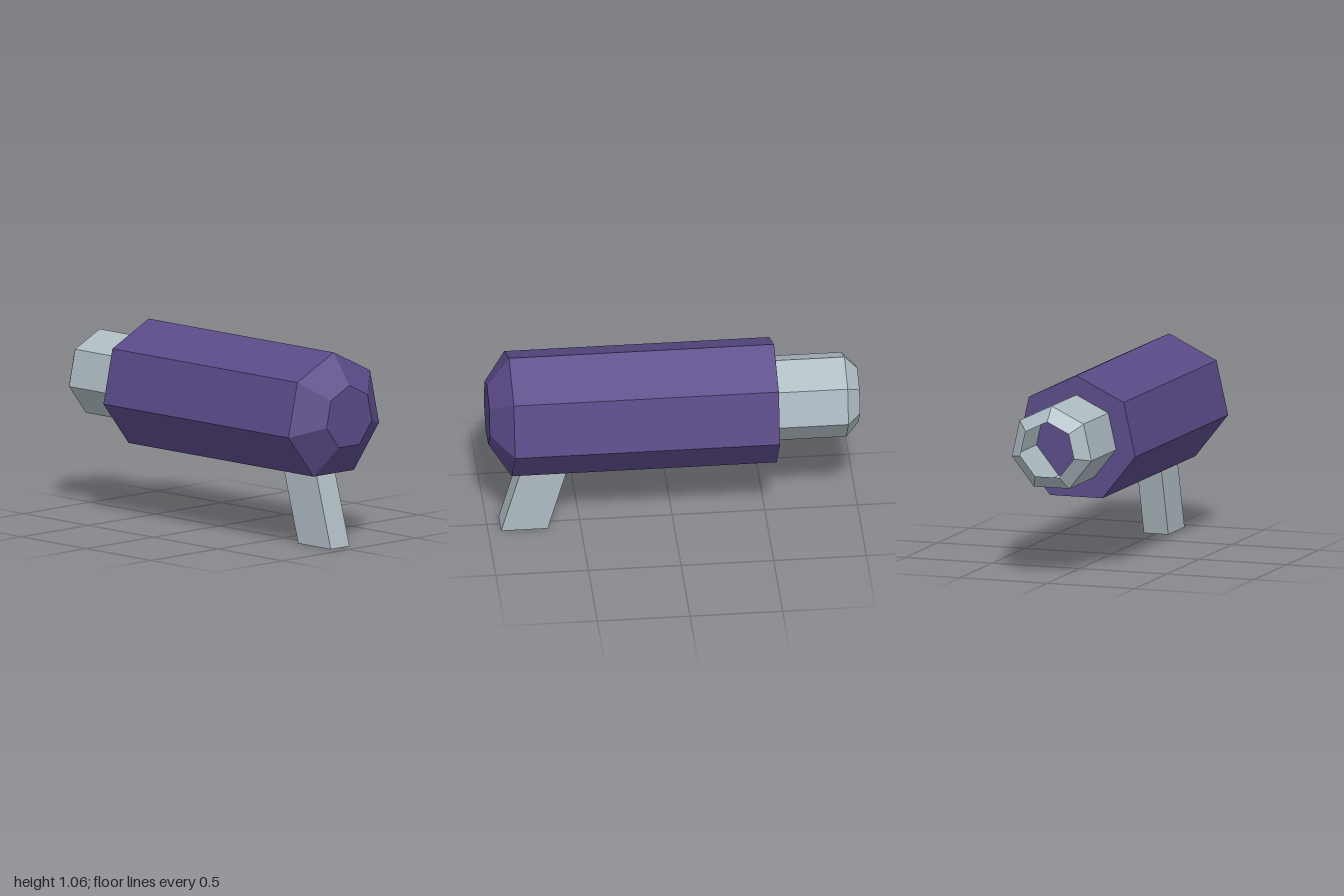
import * as THREE from 'three';

const purple = new THREE.MeshStandardMaterial({ color: 0x5a4a88, flatShading: true, side: THREE.DoubleSide });
const grey = new THREE.MeshStandardMaterial({ color: 0xaebcc3, flatShading: true, side: THREE.DoubleSide });

// Seven-sided solid along z with a corner at the top; profile is [radius, z] from back to front
function heptagonal(profile, material, name, centreY) {
  const points = profile.map(([r, z]) => new THREE.Vector2(r, z));
  const geometry = new THREE.LatheGeometry(points, 7, Math.PI).rotateX(Math.PI / 2);
  const mesh = new THREE.Mesh(geometry, material);
  mesh.name = name;
  mesh.position.y = centreY;
  return mesh;
}

export function createModel() {
  const model = new THREE.Group();
  model.name = 'handheldTool';

  // Closed body with a tapered nose, whose flat end sits slightly higher
  const body = heptagonal(
    [[0, -0.55], [0.347, -0.55], [0.347, 0.88], [0.174, 1], [0, 1]], purple, 'body', 0.713);
  const p = body.geometry.attributes.position;
  for (let i = 0; i < p.count; i++) if (p.getZ(i) > 0.99) p.setY(i, p.getY(i) + 0.008);
  model.add(body);

  // Hollow barrel, open at the back
  model.add(heptagonal([[0.158, -1], [0.234, -0.93], [0.234, -0.55]], grey, 'barrel', 0.721));

  // Slanted grip: a box sheared along z
  const grip = new THREE.Mesh(new THREE.BoxGeometry(0.14, 0.41, 0.252), grey);
  grip.name = 'grip';
  grip.geometry.translate(0, 0.205, 0.804);
  const g = grip.geometry.attributes.position;
  for (let i = 0; i < g.count; i++) g.setZ(i, g.getZ(i) - 0.285 * g.getY(i));
  model.add(grip);

  return model;
}
